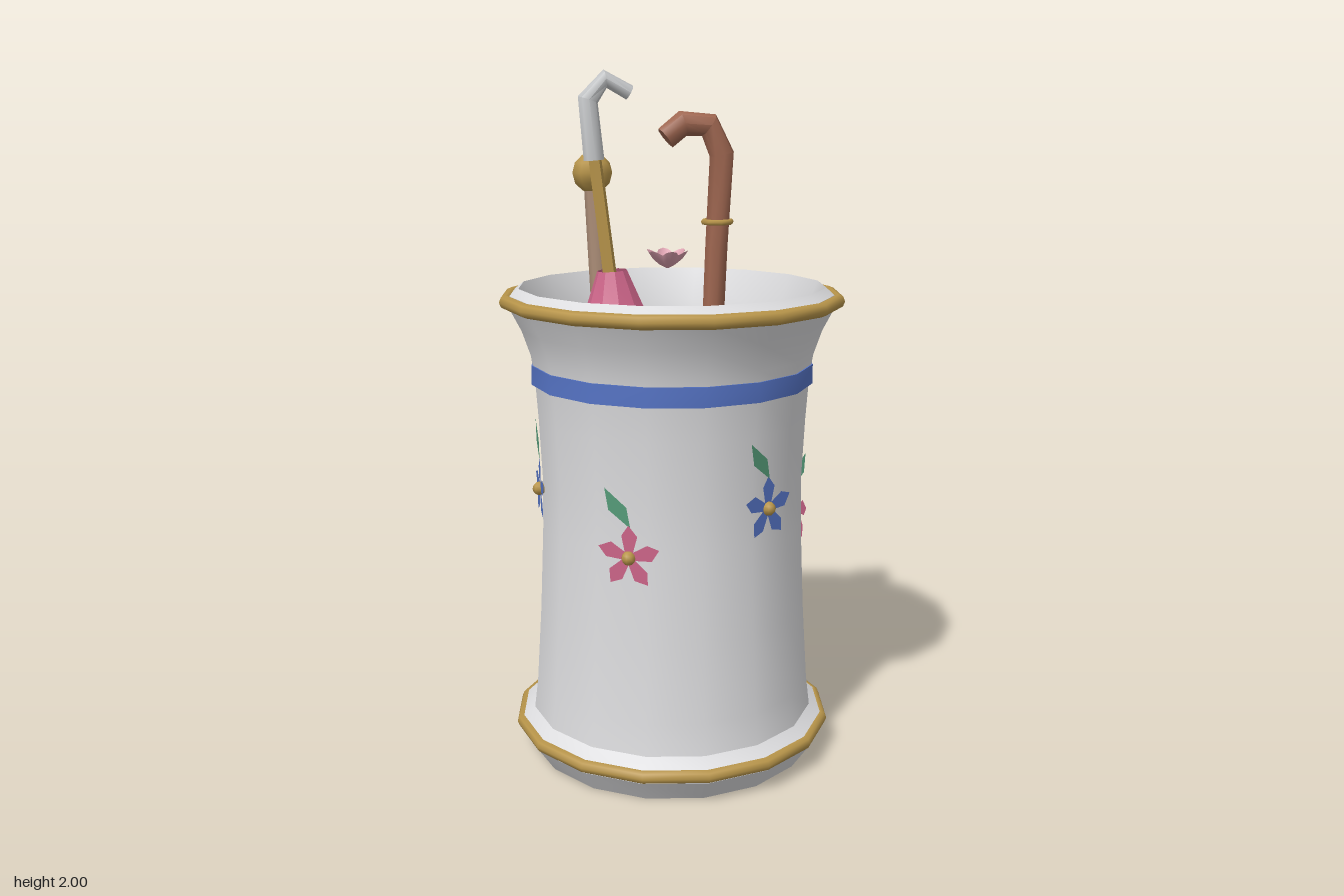
import * as THREE from 'three';
import { toCreasedNormals } from 'three/addons/utils/BufferGeometryUtils.js';

const mat = (name, color, side = THREE.FrontSide) => {
  const m = new THREE.MeshStandardMaterial({ color, side });
  m.name = name;
  return m;
};
const D = THREE.DoubleSide;

const V = (x, y, z) => new THREE.Vector3(x, y, z);

// Mitred rod through points lying roughly in an xy plane, one radius per point
function rodGeometry(points, radii, sides) {
  const pos = [], index = [], n = points.length;
  points.forEach((p, i) => {
    const t = V(0, 0, 0);
    if (i > 0) t.add(p.clone().sub(points[i - 1]).normalize());
    if (i < n - 1) t.add(points[i + 1].clone().sub(p).normalize());
    t.setZ(0).normalize();
    for (let j = 0; j < sides; j++) {
      const a = (j / sides) * Math.PI * 2, c = Math.cos(a) * radii[i];
      pos.push(p.x - t.y * c, p.y + t.x * c, p.z + Math.sin(a) * radii[i]);
    }
  });
  pos.push(...points[0].toArray(), ...points[n - 1].toArray());
  for (let j = 0; j < sides; j++) {
    const k = (j + 1) % sides, last = (n - 1) * sides;
    for (let i = 0; i < n - 1; i++) {
      const a = i * sides + j, b = i * sides + k;
      index.push(a, b, b + sides, a, b + sides, a + sides);
    }
    index.push(n * sides, k, j, n * sides + 1, last + j, last + k);
  }
  const g = new THREE.BufferGeometry();
  g.setAttribute('position', new THREE.Float32BufferAttribute(pos, 3));
  g.setIndex(index);
  return toCreasedNormals(g, 0.85);
}

const lathe = (pts, sides) => toCreasedNormals(
  new THREE.LatheGeometry(pts.map(([r, y]) => new THREE.Vector2(r, y)), sides), 0.45);

const flatShape = (pts) => new THREE.ShapeGeometry(
  new THREE.Shape(pts.map(([x, y]) => new THREE.Vector2(x, y))));

export function createModel() {
  const porcelain = mat('porcelain', 0xdcdcde);
  const gold = mat('gold', 0xb8954a);
  const blue = mat('blue', 0x5573c4, D);
  const slate = mat('slateBlue', 0x7880b0);
  const pink = mat('pink', 0xcb6488, D);
  const palePink = mat('palePink', 0xdb9fae, D);
  const green = mat('leafGreen', 0x559a78, D);
  const brown = mat('brownWood', 0x9e6650);
  const tan = mat('tanWood', 0xaa8c76);
  const silver = mat('silver', 0xc6c8ca);

  const model = new THREE.Group();
  const add = (name, geometry, material, x = 0, y = 0, z = 0, parent = model) => {
    const m = new THREE.Mesh(geometry, material);
    m.name = name;
    m.position.set(x, y, z);
    parent.add(m);
    return m;
  };
  const ring = (name, R, r, x, y, z, sides, material = gold, radial = 8) =>
    add(name, new THREE.TorusGeometry(R, r, radial, sides).rotateX(Math.PI / 2), material, x, y, z);

  // Flared stand with a hollow mouth
  add('standBody', lathe([
    [0, 0], [0.42, 0], [0.468, 0.07], [0.465, 0.1], [0.424, 0.13], [0.413, 0.22], [0.398, 0.45],
    [0.387, 0.7], [0.385, 0.85], [0.393, 1.02], [0.402, 1.15], [0.412, 1.21], [0.436, 1.28],
    [0.472, 1.35], [0.468, 1.38], [0.442, 1.4], [0.402, 1.3], [0.382, 1.2],
  ], 16), porcelain);
  add('innerFloor', new THREE.CylinderGeometry(0.386, 0.386, 0.02, 12), slate, 0, 1.24, 0);
  ring('topTrim', 0.478, 0.02, 0, 1.363, 0, 16);
  ring('bottomTrim', 0.459, 0.019, 0, 0.087, 0, 16);
  add('blueBand', toCreasedNormals(
    new THREE.CylinderGeometry(0.411, 0.411, 0.056, 16), 0.45), blue, 0, 1.152, 0);

  // Six painted blossoms, alternately low pink and high blue
  const petal = flatShape([[0.008, -0.01], [0.062, -0.024], [0.092, 0.002], [0.062, 0.022], [0.008, 0.01]]);
  const leaf = flatShape([[-0.037, 0.056], [-0.026, -0.006], [0.037, -0.054], [0.026, 0.004]]);
  for (let i = 0; i < 6; i++) {
    const angle = -Math.PI / 6 + i * Math.PI / 3;
    const low = i % 2 === 0;
    const blossom = new THREE.Group();
    blossom.name = low ? 'pinkBlossom' : 'blueBlossom';
    blossom.position.set(Math.sin(angle) * 0.392, low ? 0.7 : 0.815, Math.cos(angle) * 0.392);
    blossom.rotation.y = angle;
    for (let k = 0; k < 5; k++) {
      add('petal', petal, low ? pink : blue, 0, 0, 0.002, blossom).rotation.z = 0.3 + k * Math.PI * 0.4;
    }
    add('blossomCentre', new THREE.SphereGeometry(0.02, 8, 6), gold, 0, 0, 0.004, blossom);
    add('leaf', leaf, green, -0.032, 0.138, 0.002, blossom);
    model.add(blossom);
  }

  // Brown crook-handled cane with a gold collar
  add('cane', rodGeometry([
    V(0.148, 1.24, -0.098), V(0.158, 1.5, -0.098), V(0.172, 1.765, -0.098),
    V(0.133, 1.848, -0.098), V(0.055, 1.853, -0.098), V(0.004, 1.812, -0.098),
  ], [0.033, 0.034, 0.037, 0.037, 0.037, 0.034], 8), brown);
  ring('caneCollar', 0.041, 0.009, 0.16, 1.57, -0.098, 8, gold, 6);

  // Straight tan stick with a gold ball
  add('stick', rodGeometry([V(-0.168, 1.24, -0.205), V(-0.19, 1.69, -0.224)],
    [0.031, 0.027], 8), tan);
  add('stickBall', new THREE.SphereGeometry(0.06, 8, 6), gold, -0.19, 1.71, -0.226);

  // Parasol: open pink bell with hem, gold shaft and silver hook
  add('parasolBell', lathe([[0.1, 0], [0.112, 0.05], [0.084, 0.1], [0.042, 0.21]], 10)
    .rotateZ(0.06), pink, -0.172, 1.243, 0.058);
  ring('parasolHem', 0.108, 0.013, -0.175, 1.295, 0.057, 10, palePink, 6);
  add('parasolShaft', rodGeometry([V(-0.168, 1.25, 0.06), V(-0.226, 1.78, 0.024)],
    [0.02, 0.018], 6), gold);
  add('parasolHook', rodGeometry([
    V(-0.226, 1.755, 0.025), V(-0.24, 1.918, 0.017), V(-0.191, 1.974, 0.014), V(-0.122, 1.937, 0.014),
  ], [0.029, 0.029, 0.025, 0.021], 8), silver);

  // Small scalloped flower cup with tiny stamens
  const cup = new THREE.LatheGeometry(
    [[0.004, 0], [0.024, 0.012], [0.042, 0.026], [0.055, 0.046]].map(([r, y]) => new THREE.Vector2(r, y)), 24);
  const p = cup.attributes.position;
  for (let i = 0; i < p.count; i++) {
    const x = p.getX(i), z = p.getZ(i), r = Math.hypot(x, z);
    const wave = Math.abs(Math.cos(3 * Math.atan2(x, z)));
    const s = 1 + (wave - 0.7) * 0.3 * (r / 0.055);
    p.setXYZ(i, x * s, p.getY(i) + (wave - 0.7) * 0.012 * (r / 0.055), z * s);
  }
  cup.computeVertexNormals();
  add('flowerCup', cup, palePink, -0.04, 1.464, 0.126);
  for (let i = 0; i < 5; i++) {
    const a = i * Math.PI * 0.4;
    add('stamen', new THREE.SphereGeometry(0.006, 6, 4), pink,
      -0.036 + Math.cos(a) * 0.01, 1.484, 0.126 + Math.sin(a) * 0.01);
  }

  return model;
}
